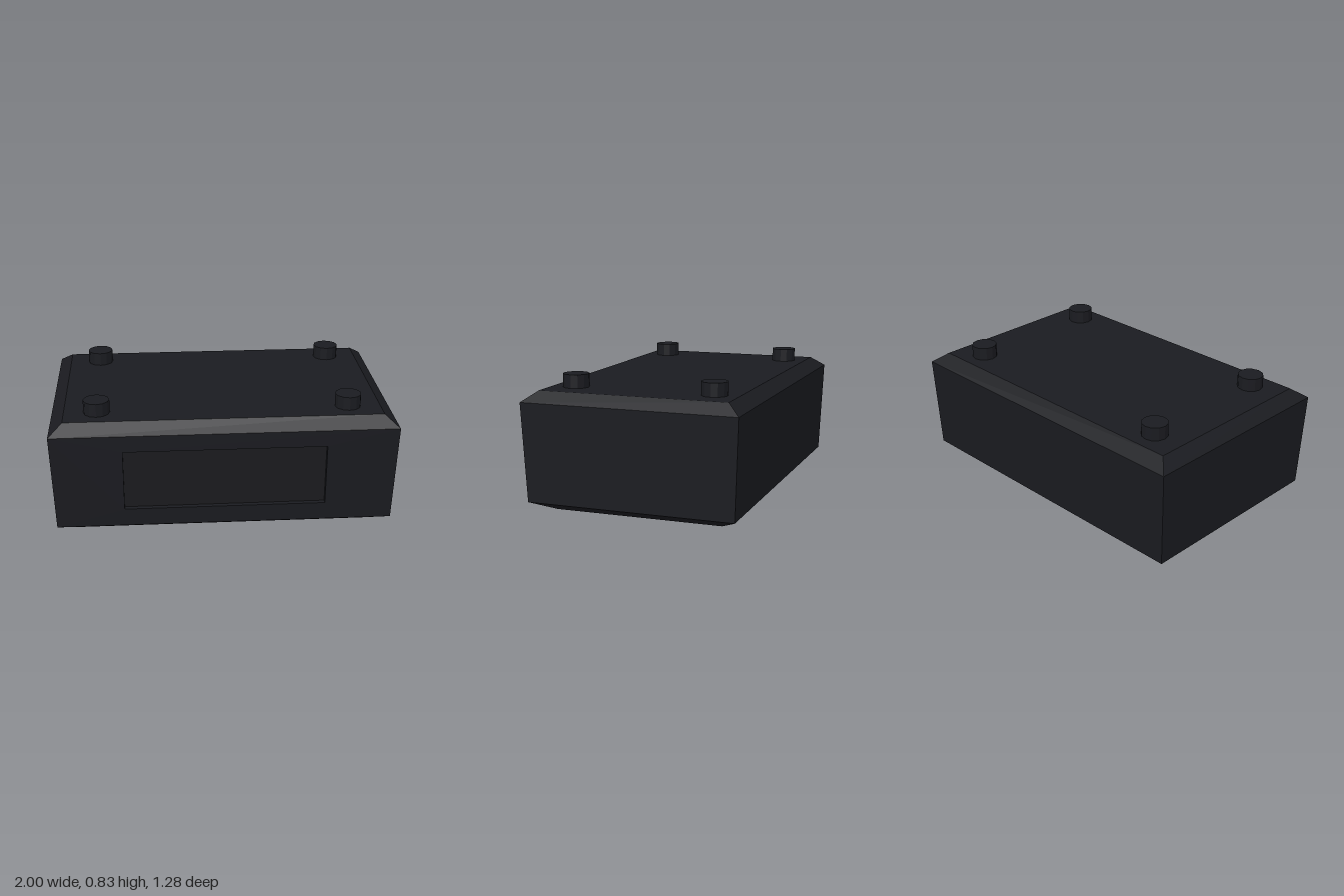
import * as THREE from 'three';

const makeMat = (color) => new THREE.MeshStandardMaterial({ color, flatShading: true });

// Half sizes of the case at each level: [y, x, z]
const LEVELS = [
  [0.045, 0.84, 0.5],
  [0.112, 0.98, 0.615],
  [0.69, 1, 0.638],
  [0.75, 0.92, 0.558],
];
const PANEL = { x: 0.585, bottom: 0.22, top: 0.59, depth: 0.03 };

// Depth of the sloping front wall at height y
const frontZ = (y) => THREE.MathUtils.mapLinear(y, LEVELS[1][0], LEVELS[2][0], LEVELS[1][2], LEVELS[2][2]);

const ring = ([y, x, z]) => [[x, y, z], [x, y, -z], [-x, y, -z], [-x, y, z]];

function quads(list) {
  const pos = [];
  for (const [a, b, c, d] of list) pos.push(...a, ...b, ...c, ...a, ...c, ...d);
  const geo = new THREE.BufferGeometry();
  geo.setAttribute('position', new THREE.Float32BufferAttribute(pos, 3));
  geo.computeVertexNormals();
  return geo;
}

function add(group, name, geo, mat, x = 0, y = 0, z = 0) {
  const mesh = new THREE.Mesh(geo, mat);
  mesh.name = name;
  mesh.position.set(x, y, z);
  group.add(mesh);
}

export function createModel() {
  const model = new THREE.Group();
  model.name = 'box';
  const dark = makeMat(0x1a1b20);
  const panelMat = makeMat(0x1b1b1e);

  // Chamfered case, leaving out the front wall
  const rings = LEVELS.map(ring);
  const faces = [[...rings[0]].reverse(), rings[3]];
  for (let l = 0; l < 3; l++) {
    for (let i = 0; i < 4; i++) {
      if (l === 1 && i === 3) continue;
      const j = (i + 1) % 4;
      faces.push([rings[l][i], rings[l][j], rings[l + 1][j], rings[l + 1][i]]);
    }
  }
  add(model, 'case', quads(faces), dark);

  // Sloping front wall with the panel opening
  const [, [y0, x0], [y1, x1]] = LEVELS;
  const corners = [[-PANEL.x, PANEL.bottom], [PANEL.x, PANEL.bottom], [PANEL.x, PANEL.top], [-PANEL.x, PANEL.top]];
  const toPoints = (pts) => pts.map((p) => new THREE.Vector2(...p));
  const wall = new THREE.Shape(toPoints([[-x0, y0], [x0, y0], [x1, y1], [-x1, y1]]));
  wall.holes.push(new THREE.Path(toPoints([...corners].reverse())));
  const wallGeo = new THREE.ShapeGeometry(wall);
  const p = wallGeo.attributes.position;
  for (let i = 0; i < p.count; i++) p.setZ(i, frontZ(p.getY(i)));
  wallGeo.computeVertexNormals();
  add(model, 'frontWall', wallGeo, dark);

  // Recessed front panel and the sides of its opening
  const outer = corners.map(([x, y]) => [x, y, frontZ(y)]);
  const inner = corners.map(([x, y]) => [x, y, frontZ(y) - PANEL.depth]);
  const sides = outer.map((o, i) => [o, outer[(i + 1) % 4], inner[(i + 1) % 4], inner[i]]);
  add(model, 'panelOpening', quads(sides), dark);
  add(model, 'frontPanel', quads([inner]), panelMat);

  // Four pegs on top
  const pegGeo = new THREE.CylinderGeometry(0.076, 0.076, 0.1, 12);
  for (const x of [-0.73, 0.73]) {
    for (const z of [-0.417, 0.417]) add(model, 'peg', pegGeo, dark, x, 0.778, z);
  }

  // Round foot underneath
  add(model, 'foot', new THREE.CylinderGeometry(0.258, 0.258, 0.06, 24), dark, 0, 0.03, 0);

  return model;
}
